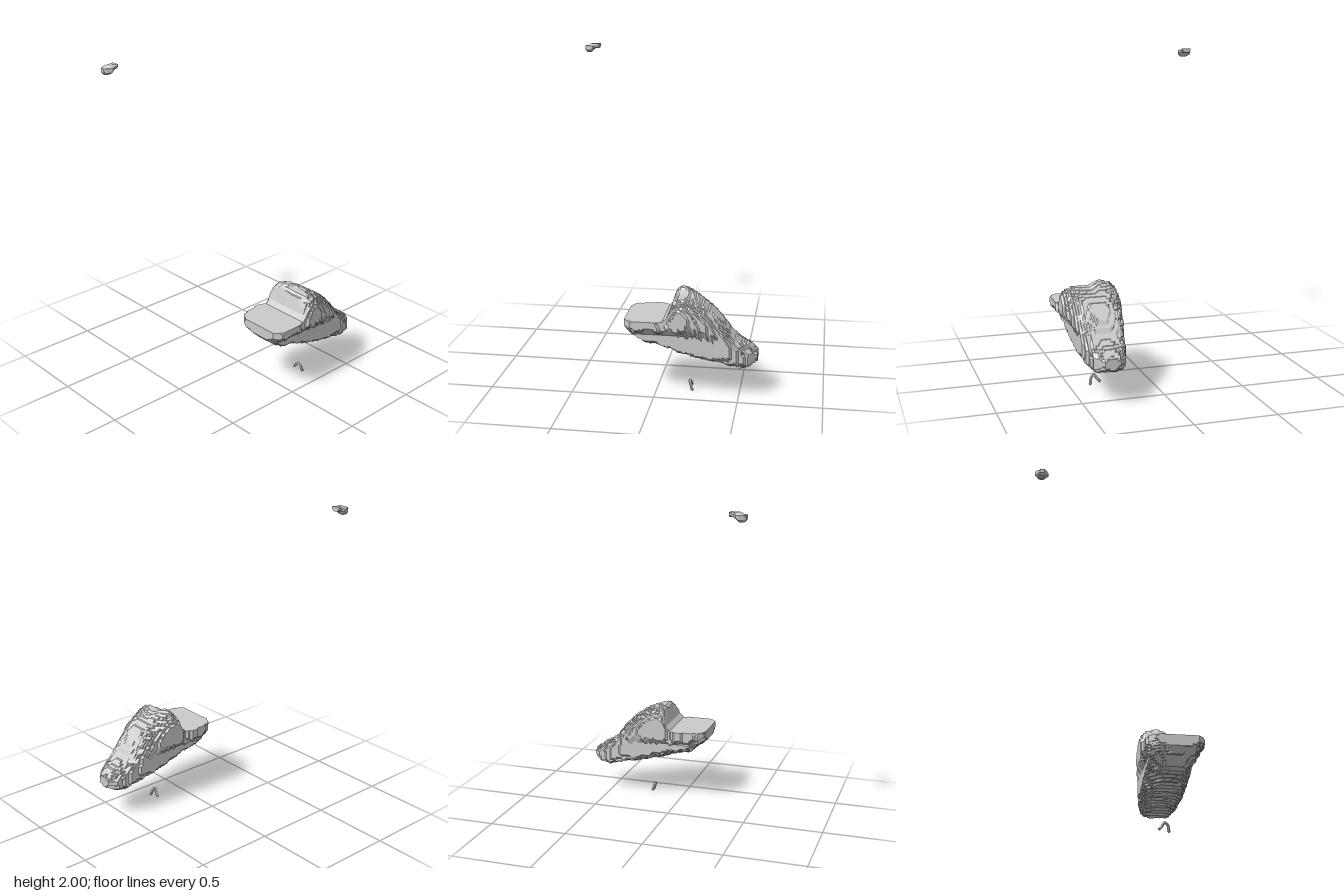
import * as THREE from 'three';

const material = new THREE.MeshStandardMaterial({ color: 0xcccccc, flatShading: true });
const CELL = 0.0135;

// Body sections, front to back: z, xMin, xMax, yBottom, yTop, yWidest, roundness of the top
const SECTIONS = [
  [0.17, 0.25, 0.50, 0.42, 0.487, 0.46, 6],
  [0.13, 0.20, 0.535, 0.385, 0.487, 0.465, 7],
  [0.06, 0.19, 0.54, 0.325, 0.487, 0.47, 7],
  [0.00, 0.17, 0.54, 0.32, 0.487, 0.475, 7],
  [-0.065, 0.20, 0.53, 0.30, 0.492, 0.47, 6],
  [-0.09, 0.19, 0.53, 0.285, 0.525, 0.48, 5],
  [-0.105, 0.19, 0.53, 0.285, 0.60, 0.49, 4],
  [-0.14, 0.19, 0.54, 0.27, 0.634, 0.50, 3.5],
  [-0.18, 0.19, 0.54, 0.265, 0.63, 0.49, 3.2],
  [-0.24, 0.19, 0.525, 0.25, 0.595, 0.46, 2.9],
  [-0.30, 0.20, 0.515, 0.235, 0.555, 0.43, 2.7],
  [-0.35, 0.21, 0.50, 0.225, 0.515, 0.39, 2.5],
  [-0.40, 0.22, 0.49, 0.215, 0.46, 0.34, 2.5],
  [-0.45, 0.23, 0.48, 0.20, 0.39, 0.31, 2.5],
  [-0.50, 0.24, 0.465, 0.19, 0.345, 0.28, 2.5],
  [-0.56, 0.26, 0.44, 0.195, 0.315, 0.265, 2.5],
  [-0.605, 0.30, 0.39, 0.225, 0.28, 0.255, 2.5],
];

function sectionAt(z) {
  let i = 0;
  while (i < SECTIONS.length - 2 && z < SECTIONS[i + 1][0]) i++;
  const a = SECTIONS[i], b = SECTIONS[i + 1];
  const t = THREE.MathUtils.clamp((z - a[0]) / (b[0] - a[0]), 0, 1);
  return a.map((v, k) => v + (b[k] - v) * t);
}

// Faceted lump: rings joined front to back, closed by caps, on a coarse grid
function loft(rings) {
  const positions = [];
  const snap = (p) => new THREE.Vector3(...p.toArray().map((v) => Math.round(v / CELL) * CELL));
  const grid = rings.map((ring) => ring.map(snap));
  const ab = new THREE.Vector3(), ac = new THREE.Vector3();
  const face = (a, b, c) => {
    if (ab.subVectors(b, a).cross(ac.subVectors(c, a)).length() < 1e-9) return;
    positions.push(...a.toArray(), ...b.toArray(), ...c.toArray());
  };
  const count = grid[0].length;
  for (let i = 0; i < grid.length - 1; i++) {
    for (let j = 0; j < count; j++) {
      const k = (j + 1) % count;
      face(grid[i][j], grid[i + 1][j], grid[i][k]);
      face(grid[i][k], grid[i + 1][j], grid[i + 1][k]);
    }
  }
  const first = grid[0], last = grid[grid.length - 1];
  const middle = (ring) => ring.reduce((s, p) => s.add(p), new THREE.Vector3()).divideScalar(count);
  const front = middle(first), back = middle(last);
  for (let j = 0; j < count; j++) {
    const k = (j + 1) % count;
    face(front, first[j], first[k]);
    face(back, last[k], last[j]);
  }
  const geometry = new THREE.BufferGeometry();
  geometry.setAttribute('position', new THREE.Float32BufferAttribute(positions, 3));
  geometry.computeVertexNormals();
  return geometry;
}

function bodyGeometry() {
  const { clamp, smoothstep } = THREE.MathUtils;
  const rings = [], steps = 58, sides = 88;
  for (let i = 0; i <= steps; i++) {
    const z = 0.17 - 0.775 * i / steps;
    const [, x0, x1, yBottom, yTop, yWide, round] = sectionAt(z);
    // The underside gets boxier towards the tail
    const under = 2.6 + 1.0 * smoothstep(-z, 0, 0.3);
    const hump = smoothstep(-z, 0.08, 0.13) * (1 - smoothstep(-z, 0.16, 0.3));
    const ring = [];
    for (let j = 0; j < sides; j++) {
      const angle = j / sides * Math.PI * 2;
      const c = Math.cos(angle), s = Math.sin(angle);
      const n = s > 0 ? round : under;
      // Slight unevenness of the sides and underside
      const rough = s > 0.2 ? 0 : 0.004 * Math.sin(z * 47 + angle * 5) * Math.sin(angle * 3 - z * 21);
      const px = Math.sign(c) * Math.abs(c) ** (2 / n);
      const py = Math.sign(s) * Math.abs(s) ** (2 / n);
      let x = (x0 + x1) / 2 + px * ((x1 - x0) / 2 + rough);
      let y = yWide + py * (s > 0 ? yTop - yWide : yWide - yBottom + rough);
      // The crown of the hump is lower on its left half
      if (s > 0) y -= 0.025 * hump * py * smoothstep(x, 0.31, 0.36);
      // Below the overhang the sides draw in to a narrower underside
      const overhang = 0.06 * smoothstep(y, 0.39, 0.45);
      x = clamp(x, 0.21 - overhang, 0.49 + overhang);
      ring.push(new THREE.Vector3(x, y, z));
    }
    rings.push(ring);
  }
  return loft(rings);
}

// Floating chip: eight-sided rings given as z, half width, low y, high y
function chipGeometry() {
  const sections = [[0.605, 0.018, 1.963, 1.982], [0.59, 0.028, 1.95, 1.99], [0.565, 0.04, 1.95, 1.993],
    [0.55, 0.04, 1.957, 1.995], [0.535, 0.028, 1.968, 2], [0.515, 0.024, 1.975, 1.998]];
  const rings = sections.map(([z, w, low, high]) => Array.from({ length: 8 }, (_, j) => {
    const angle = (j + 0.5) / 8 * Math.PI * 2;
    return new THREE.Vector3(-0.5 + Math.cos(angle) * w * 1.08,
      (low + high) / 2 + Math.sin(angle) * (high - low) / 2 * 1.08, z);
  }));
  return loft(rings);
}

// Small bent fragment under the body
function fragmentGeometry() {
  const points = [[0.317, 0.022, -0.207], [0.333, 0.04, -0.205], [0.343, 0.058, -0.2],
    [0.358, 0.058, -0.2], [0.37, 0.042, -0.207], [0.376, 0.01, -0.216]];
  const curve = new THREE.CurvePath();
  for (let i = 0; i < points.length - 1; i++) {
    curve.add(new THREE.LineCurve3(new THREE.Vector3(...points[i]), new THREE.Vector3(...points[i + 1])));
  }
  return new THREE.TubeGeometry(curve, 10, 0.009, 5);
}

export function createModel() {
  const group = new THREE.Group();
  const add = (name, geometry) => {
    const mesh = new THREE.Mesh(geometry, material);
    mesh.name = name;
    group.add(mesh);
    return mesh;
  };
  add('rockBody', bodyGeometry());
  add('floatingChip', chipGeometry());
  add('bentFragment', fragmentGeometry());
  // Closed tips of the bent fragment
  for (const p of [[0.317, 0.022, -0.207], [0.376, 0.012, -0.216]]) {
    add('fragmentTip', new THREE.OctahedronGeometry(0.012)).position.set(...p);
  }
  return group;
}
